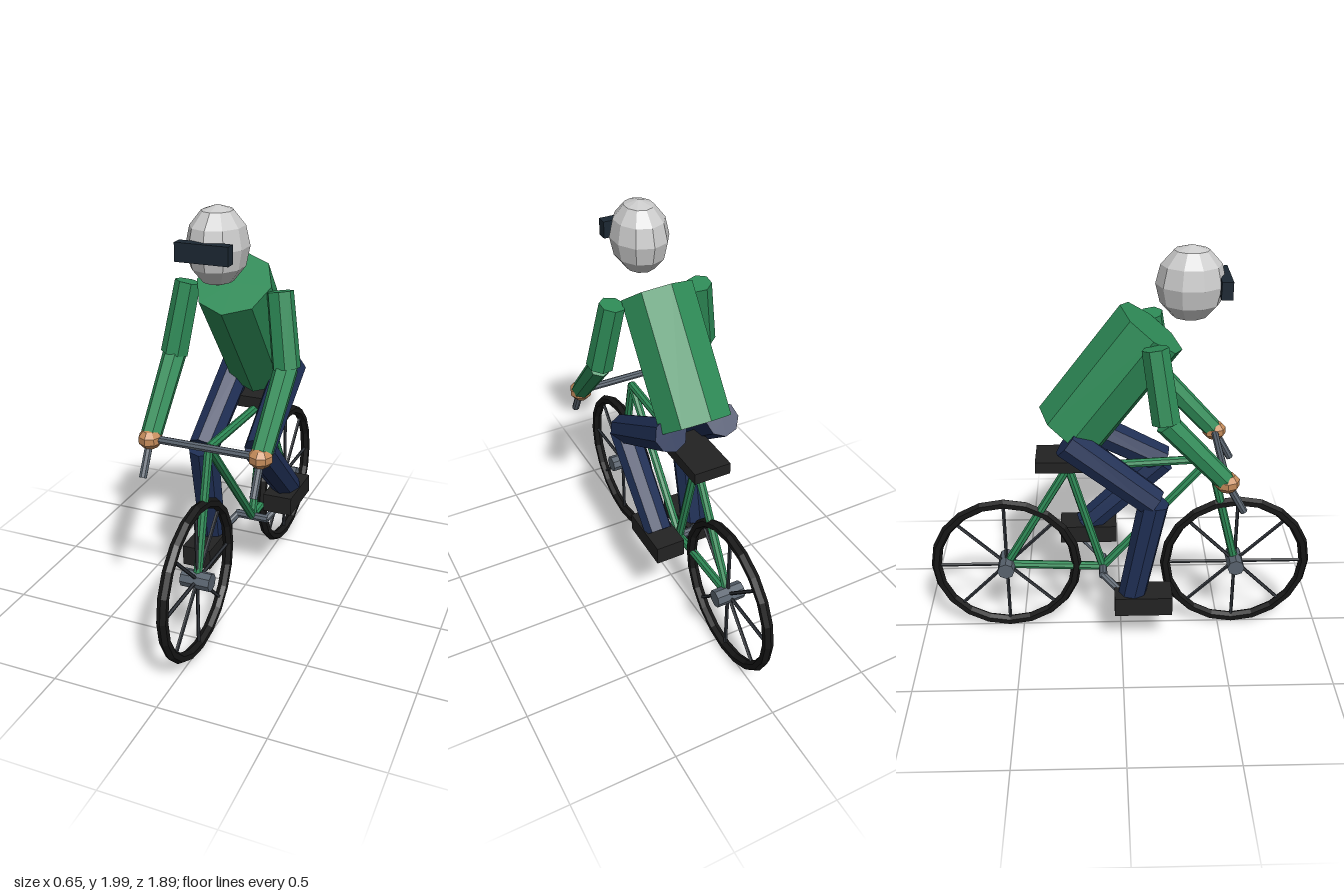
import * as THREE from 'three';

const mat = (color) => new THREE.MeshStandardMaterial({ color, flatShading: true });
const V = (x, y, z) => new THREE.Vector3(x, y, z);
const UP = V(0, 1, 0);

export function createModel() {
  const model = new THREE.Group();
  const green = mat(0x2e8b57), navy = mat(0x1f2f55), black = mat(0x232323), rubber = mat(0x161616);
  const steel = mat(0x59636e), wire = mat(0x30343a), skin = mat(0xc68c5b), glass = mat(0x1c2833), grey = mat(0xcccccc);

  const add = (name, geometry, material, position, parent = model) => {
    const mesh = new THREE.Mesh(geometry, material);
    mesh.name = name;
    mesh.position.copy(position);
    parent.add(mesh);
    return mesh;
  };
  // Faceted rod running from a to b, radius ra at a and rb at b
  const rod = (name, a, b, ra, rb, material, sides = 8, parent = model) => {
    const d = b.clone().sub(a);
    const geometry = new THREE.CylinderGeometry(rb, ra, d.length(), sides);
    const mesh = add(name, geometry, material, a.clone().add(b).multiplyScalar(0.5), parent);
    mesh.quaternion.setFromUnitVectors(UP, d.normalize());
    return mesh;
  };
  const box = (name, w, h, d, material, position) =>
    add(name, new THREE.BoxGeometry(w, h, d), material, position);

  // Wheels: tyre, hub and four full-width spokes
  for (const [name, z] of [['frontWheel', 0.57], ['rearWheel', -0.57]]) {
    const wheel = new THREE.Group();
    wheel.name = name;
    wheel.position.set(0, 0.38, z);
    model.add(wheel);
    const tyre = new THREE.TorusGeometry(0.349, 0.025, 6, 20).rotateY(Math.PI / 2);
    add('tyre', tyre, rubber, V(0, 0, 0), wheel);
    rod('hub', V(-0.07, 0, 0), V(0.07, 0, 0), 0.042, 0.042, steel, 8, wheel);
    for (let i = 0; i < 4; i++) {
      const a = (i * Math.PI) / 4;
      const end = V(0, Math.sin(a) * 0.34, Math.cos(a) * 0.34);
      rod('spoke', end, end.clone().negate(), 0.009, 0.009, wire, 5, wheel);
    }
  }

  // Frame tubes
  const head = V(0, 0.965, 0.425), seat = V(0, 0.93, -0.25), bottom = V(0, 0.36, -0.09);
  const frontHub = V(0, 0.38, 0.57), rearHub = V(0, 0.38, -0.57);
  const tubes = {
    fork: [head, frontHub], topTube: [head, seat], downTube: [head, bottom],
    seatTube: [bottom, seat], chainStay: [bottom, rearHub], seatStay: [seat, rearHub],
  };
  for (const [name, [a, b]] of Object.entries(tubes)) rod(name, a, b, 0.021, 0.021, green);
  box('saddle', 0.18, 0.056, 0.3, black, V(0, 0.974, -0.25));

  // Handlebar, crank axle
  rod('handlebar', V(-0.26, 0.985, 0.47), V(0.26, 0.985, 0.47), 0.018, 0.018, steel);
  rod('crankAxle', V(-0.085, 0.36, -0.09), V(0.085, 0.36, -0.09), 0.021, 0.021, steel);

  // Torso and head
  rod('torso', V(0, 1.14, -0.235), V(0, 1.628, 0.135), 0.175, 0.175, green);
  const helmet = add('helmet', new THREE.SphereGeometry(1, 10, 6).rotateY(Math.PI / 2), grey, V(0, 1.83, 0.302));
  helmet.scale.set(0.132, 0.17, 0.154);
  box('visor', 0.235, 0.08, 0.05, glass, V(0, 1.83, 0.447));

  // Arms, hands and bar drops on both sides
  for (const s of [1, -1]) {
    const shoulder = V(s * 0.215, 1.615, 0.14), elbow = V(s * 0.267, 1.29, 0.19), grip = V(s * 0.26, 0.985, 0.47);
    rod('upperArm', shoulder, elbow, 0.06, 0.064, green, 7);
    rod('forearm', elbow, grip, 0.055, 0.048, green, 7);
    add('hand', new THREE.SphereGeometry(1, 8, 5), skin, grip).scale.set(0.055, 0.048, 0.06);
    rod('barDrop', grip, V(s * 0.26, 0.83, 0.555), 0.018, 0.018, steel);
  }

  // Legs, shoes and cranks: left pedal raised, right pedal lowered
  const legs = [
    { s: 1, knee: [0.885, 0.205], ankle: [0.52, -0.17], shoe: [0.49, -0.16], h: 0.09, pedal: [0.455, -0.215] },
    { s: -1, knee: [0.82, 0.15], ankle: [0.3, 0.05], shoe: [0.27, 0.105], h: 0.1, pedal: [0.265, 0.035] },
  ];
  for (const { s, knee, ankle, shoe, h, pedal } of legs) {
    const kneePoint = V(s * 0.152, ...knee);
    rod('thigh', V(s * 0.13, 1.135, -0.25), kneePoint, 0.08, 0.073, navy);
    rod('shin', kneePoint, V(s * 0.157, ...ankle), 0.074, 0.068, navy);
    box('shoe', 0.142, h, 0.28, black, V(s * 0.157, ...shoe));
    rod('crank', V(s * 0.075, 0.36, -0.09), V(s * 0.157, ...pedal), 0.018, 0.018, steel);
  }
  return model;
}
